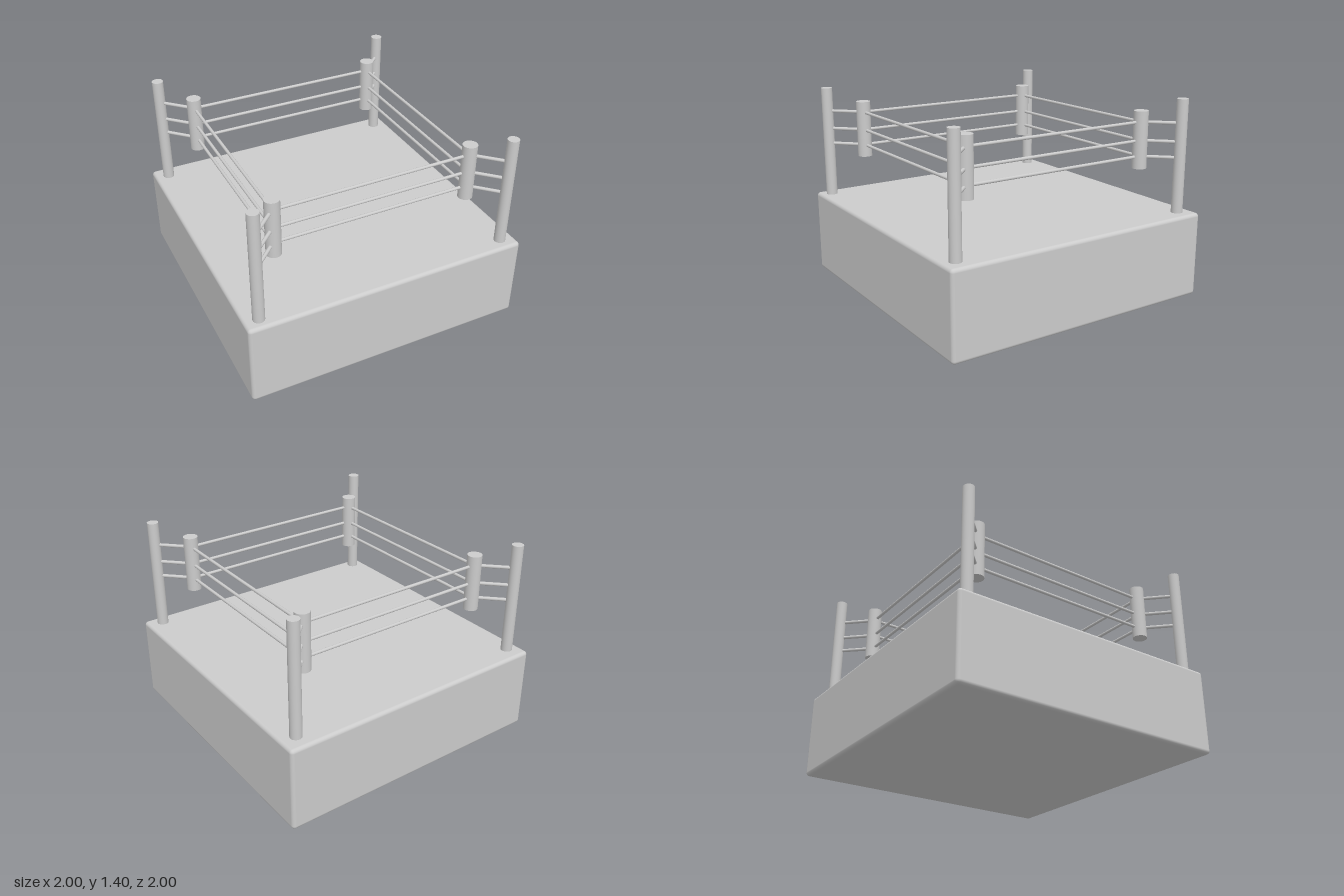
import * as THREE from 'three';
import { RoundedBoxGeometry } from 'three/addons/geometries/RoundedBoxGeometry.js';

const material = new THREE.MeshStandardMaterial({ color: 0xcccccc });

function add(parent, name, geometry) {
  const mesh = new THREE.Mesh(geometry, material);
  mesh.name = name;
  parent.add(mesh);
  return mesh;
}

// Cylinder running from point a to point b
function rod(parent, name, a, b, radius, sides) {
  const dir = b.clone().sub(a);
  const mesh = add(parent, name, new THREE.CylinderGeometry(radius, radius, dir.length(), sides));
  mesh.position.copy(a).add(b).multiplyScalar(0.5);
  mesh.quaternion.setFromUnitVectors(new THREE.Vector3(0, 1, 0), dir.normalize());
  return mesh;
}

export function createModel() {
  const ring = new THREE.Group();
  ring.name = 'boxingRing';

  // Platform with softened edges
  add(ring, 'platform', new RoundedBoxGeometry(2, 0.6, 2, 4, 0.025)).position.y = 0.3;

  // Corners in order around the ring: [x, z] of each post and its pad
  const corners = [
    { post: [-0.9, 0.917], pad: [-0.705, 0.722] },
    { post: [0.89, 0.907], pad: [0.7, 0.717] },
    { post: [0.89, -0.885], pad: [0.7, -0.69] },
    { post: [-0.9, -0.885], pad: [-0.705, -0.69] },
  ];
  const ropeHeights = [0.987, 1.098, 1.228];
  const at = ([x, z], y) => new THREE.Vector3(x, y, z);

  corners.forEach(({ post, pad }, i) => {
    const next = corners[(i + 1) % corners.length];
    rod(ring, 'cornerPost', at(post, 0.59), at(post, 1.397), 0.04, 32);
    rod(ring, 'cornerPad', at(pad, 0.905), at(pad, 1.307), 0.051, 32);

    // Each level has a side rope and a tie from the pad back to the post
    for (const y of ropeHeights) {
      rod(ring, 'rope', at(pad, y), at(next.pad, y), 0.011, 16);
      rod(ring, 'cornerTie', at(pad, y), at(post, y), 0.012, 16);
    }
  });

  return ring;
}
